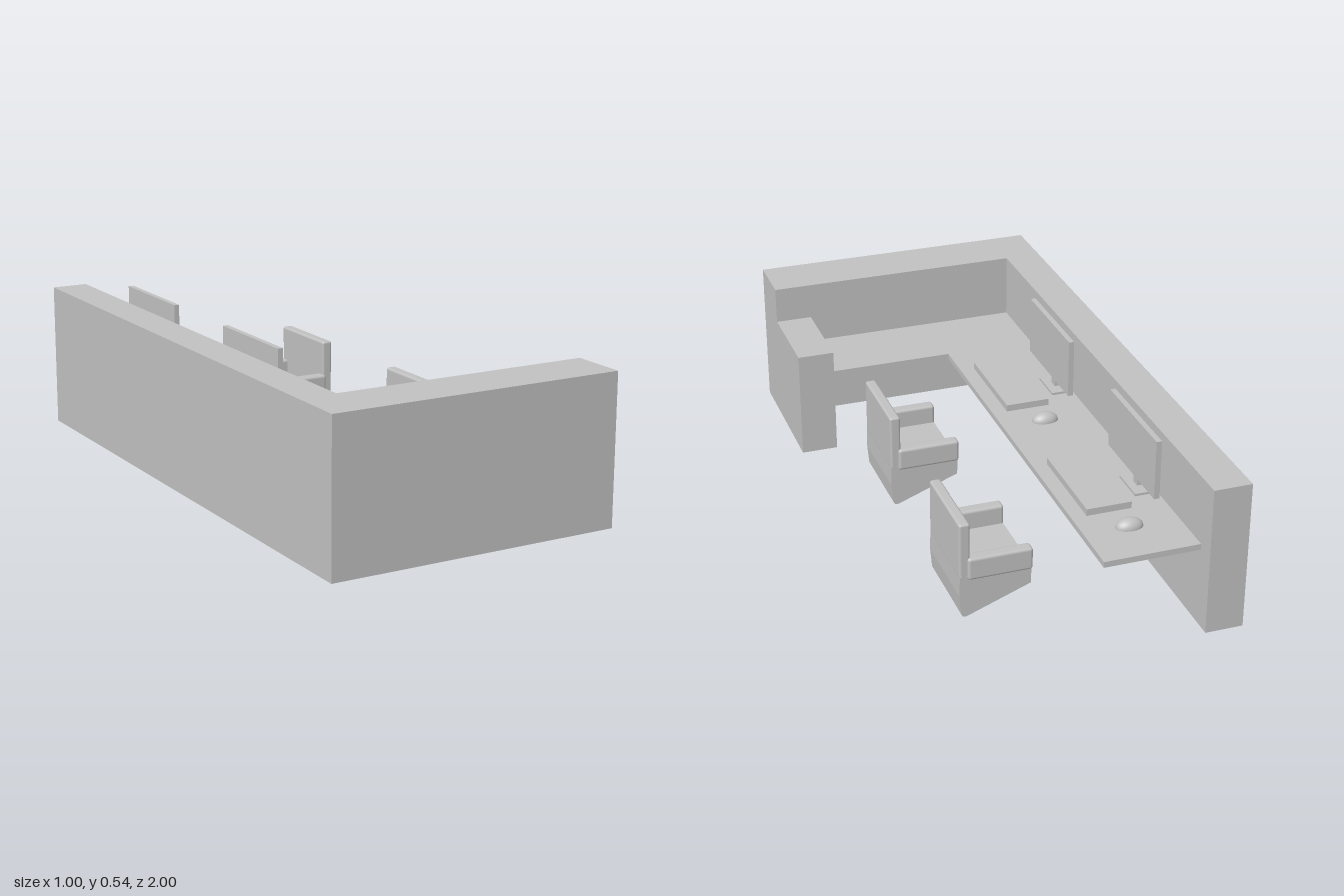
import * as THREE from 'three';
import { RoundedBoxGeometry } from 'three/addons/geometries/RoundedBoxGeometry.js';

const grey = new THREE.MeshStandardMaterial({ color: 0xc0c0c0 });
grey.name = 'grey';

function add(parent, name, geometry) {
  const mesh = new THREE.Mesh(geometry, grey);
  mesh.name = name;
  parent.add(mesh);
  return mesh;
}

// Box given by its limits on each axis; a radius rounds its edges
function box(parent, name, [x0, x1], [y0, y1], [z0, z1], radius = 0) {
  const size = [x1 - x0, y1 - y0, z1 - z0];
  const geometry = radius ? new RoundedBoxGeometry(...size, 3, radius) : new THREE.BoxGeometry(...size);
  geometry.translate((x0 + x1) / 2, (y0 + y1) / 2, (z0 + z1) / 2);
  return add(parent, name, geometry);
}

// Plan outline [x, z] raised from y0 to y1
function slab(parent, name, outline, y0, y1) {
  const shape = new THREE.Shape(outline.map(([x, z]) => new THREE.Vector2(x, -z)));
  const geometry = new THREE.ExtrudeGeometry(shape, { depth: y1 - y0, bevelEnabled: false });
  geometry.rotateX(-Math.PI / 2).translate(0, y0, 0);
  return add(parent, name, geometry);
}

// Screen on its stand, keyboard and mouse, placed about the screen centre
function workstation(z) {
  const group = new THREE.Group();
  group.name = 'workstation';
  box(group, 'screen', [-0.325, -0.307], [0.335, 0.535], [-0.185, 0.185]);
  box(group, 'screenPost', [-0.35, -0.325], [0.285, 0.38], [-0.015, 0.015]);
  box(group, 'screenBase', [-0.37, -0.298], [0.28, 0.288], [-0.063, 0.063]);
  box(group, 'keyboard', [-0.26, -0.11], [0.28, 0.303], [-0.125, 0.22]);
  const mouse = add(group, 'mouse', new THREE.SphereGeometry(1, 24, 10, 0, Math.PI * 2, 0, Math.PI / 2));
  mouse.scale.set(0.045, 0.03, 0.03);
  mouse.position.set(-0.21, 0.28, -0.225);
  group.position.z = z;
  return group;
}

// Armchair facing -x, with a seat block whose underside slopes up to the front
function chair(z) {
  const group = new THREE.Group();
  group.name = 'chair';
  const side = new THREE.Shape();
  side.moveTo(0.075, 0.083);
  side.lineTo(0.285, 0.003);
  side.quadraticCurveTo(0.298, 0, 0.302, 0.014);
  side.lineTo(0.308, 0.08);
  side.lineTo(0.306, 0.147);
  side.lineTo(0.073, 0.147);
  const seat = new THREE.ExtrudeGeometry(side, { depth: 0.296, bevelEnabled: false });
  seat.translate(0, 0, -0.148);
  add(group, 'seat', seat);
  box(group, 'backrest', [0.272, 0.308], [0.14, 0.332], [-0.148, 0.148], 0.008);
  for (const s of [-1, 1]) {
    const inner = s * 0.115, outer = s * 0.157;
    box(group, 'armrest', [0.07, 0.282], [0.135, 0.212],
      [Math.min(inner, outer), Math.max(inner, outer)], 0.01);
  }
  group.position.z = z;
  return group;
}

export function createModel() {
  const model = new THREE.Group();
  model.name = 'receptionDesk';

  // Tall L-shaped counter wall and the low return wall
  slab(model, 'counterWall', [[-0.5, -1], [-0.5, 1], [0.5, 1], [0.5, 0.81], [-0.375, 0.81], [-0.375, -1]], 0, 0.5);
  box(model, 'returnWall', [0.375, 0.5], [0, 0.375], [0.5, 0.81]);

  // L-shaped worktop
  slab(model, 'worktop', [[-0.375, -0.935], [-0.375, 0.81], [0.375, 0.81], [0.375, 0.545],
    [-0.06, 0.545], [-0.06, -0.935]], 0.26, 0.28);

  for (const z of [-0.545, 0.185]) model.add(workstation(z));
  for (const z of [-0.533, 0.19]) model.add(chair(z));
  return model;
}
